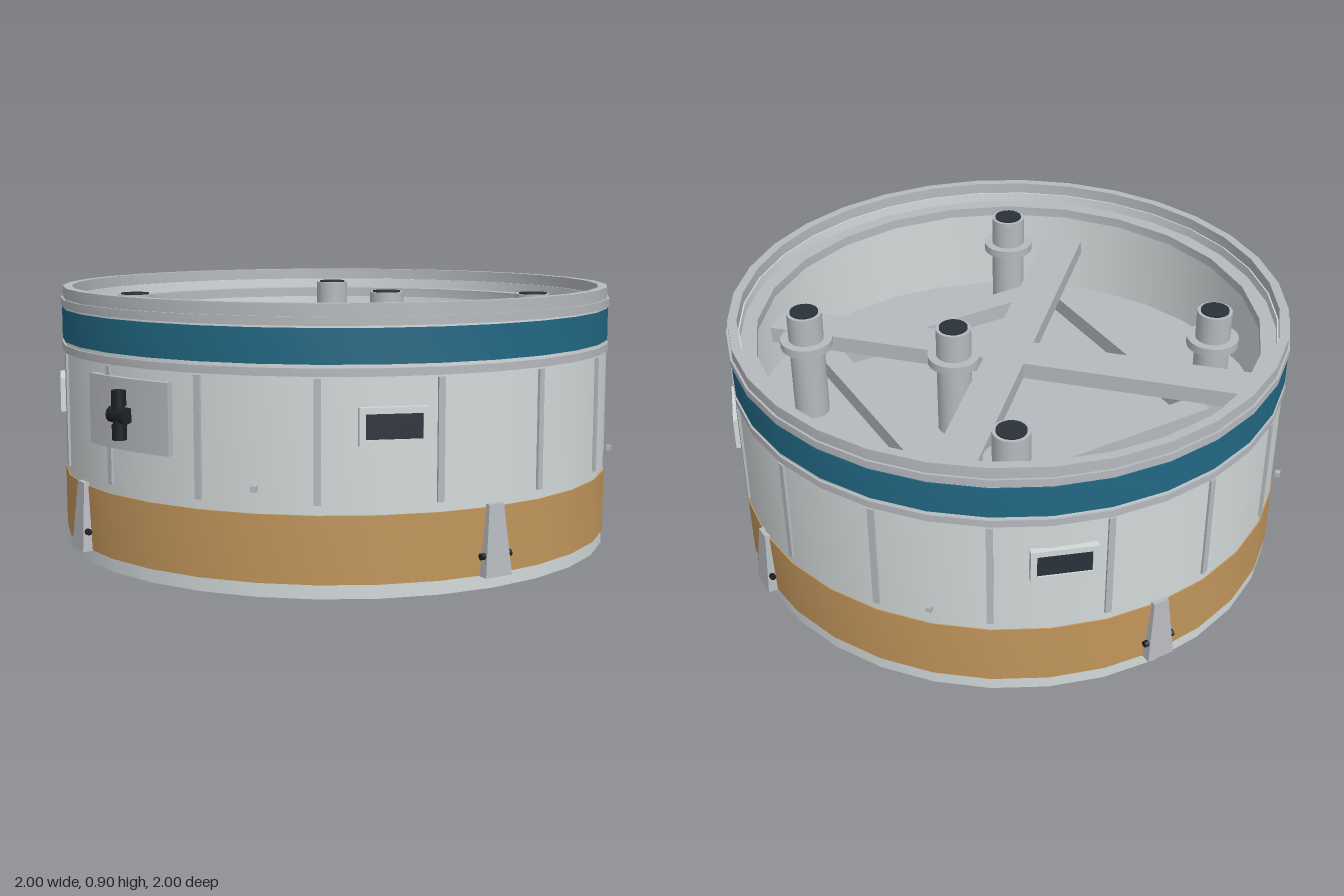
import * as THREE from 'three';
import { toCreasedNormals } from 'three/addons/utils/BufferGeometryUtils.js';

const mat = (name, color) => Object.assign(new THREE.MeshStandardMaterial({ color }), { name });

export function createModel() {
  const model = new THREE.Group();
  model.name = 'ringModule';
  const shell = mat('shellGrey', 0xd3d9da);
  const trim = mat('trimGrey', 0xb6b9be);
  const blue = mat('bandBlue', 0x226884);
  const tan = mat('bandTan', 0xc2965c);
  const glass = mat('darkGlass', 0x2a323a);
  const black = mat('black', 0x1d2025);

  const add = (name, geo, material, x = 0, y = 0, z = 0, parent = model) => {
    const mesh = new THREE.Mesh(geo, material);
    mesh.name = name;
    mesh.position.set(x, y, z);
    parent.add(mesh);
    return mesh;
  };
  const box = (w, h, d, sx = 1) => new THREE.BoxGeometry(w, h, d, sx);
  const cyl = (r, h, n = 20) => new THREE.CylinderGeometry(r, r, h, n);
  // Rectangular-section ring around the y axis
  const ring = (name, r0, r1, y0, y1, material, sides = 32, parent = model, z = 0) => {
    const pts = [[r1, y0], [r1, y1], [r0, y1], [r0, y0], [r1, y0]].map(p => new THREE.Vector2(...p));
    return add(name, toCreasedNormals(new THREE.LatheGeometry(pts, sides), 0.5), material, 0, 0, z, parent);
  };
  // Group turned to face outward at an angle from +z towards +x
  const facing = (name, degrees) => {
    const g = new THREE.Group();
    g.name = name;
    g.rotation.y = THREE.MathUtils.degToRad(degrees);
    model.add(g);
    return g;
  };

  // Shell, liner and bands
  ring('skirt', 0.95, 0.967, 0, 0.16, shell);
  ring('wall', 0.93, 0.967, 0.15, 0.86, shell);
  ring('topRim', 0.935, 0.967, 0.86, 0.9, trim);
  ring('upperRing', 0.95, 0.975, 0.834, 0.861, trim);
  ring('blueBand', 0.95, 0.971, 0.718, 0.827, blue);
  ring('middleRing', 0.95, 0.974, 0.682, 0.707, trim);
  ring('tanBand', 0.957, 0.971, 0.045, 0.26, tan);
  ring('innerLedge', 0.88, 0.94, 0.79, 0.825, trim, 24);
  ring('linerFoot', 0.905, 0.955, 0.145, 0.17, trim);

  // Wall stringers
  for (let i = 0; i < 16; i++) {
    add('stringer', box(0.022, 0.385, 0.025), trim, 0, 0.484, 0.962, facing('stringerMount', 11.25 + 22.5 * i));
  }

  // Windows with raised frames
  for (let i = 0; i < 4; i++) {
    const g = facing('window', -20.1 + 90 * i);
    add('windowPane', box(0.19, 0.08, 0.03), glass, 0, 0.532, 0.962, g);
    for (const s of [-1, 1]) {
      add('windowFrameBar', box(0.216, 0.02, 0.04), shell, 0, 0.532 + s * 0.049, 0.962, g);
      add('windowFrameSide', box(0.02, 0.08, 0.04), shell, s * 0.098, 0.532, 0.962, g);
    }
  }

  // Tapered clamps with side pegs, and small studs between them
  for (let i = 0; i < 4; i++) {
    const g = facing('clampMount', 90 * i);
    const geo = box(1, 0.228, 0.075);
    const p = geo.attributes.position;
    for (let k = 0; k < p.count; k++) {
      const top = p.getY(k) > 0;
      p.setX(k, p.getX(k) * (top ? 0.055 : 0.1));
      if (top && p.getZ(k) > 0) p.setZ(k, 0.02);
    }
    geo.computeVertexNormals();
    add('clamp', geo, trim, 0, 0.157, 0.9625, g);
    add('clampPeg', cyl(0.011, 0.116, 8), black, 0, 0.109, 0.98, g).rotation.z = Math.PI / 2;
    add('stud', box(0.018, 0.018, 0.018), trim, 0, 0.34, 0.987, facing('studMount', 45 + 90 * i));
  }

  // Curved side plate with valve
  const side = facing('valvePlateMount', -73.2);
  const curved = box(0.38, 0.23, 0.04, 6);
  const cp = curved.attributes.position;
  for (let k = 0; k < cp.count; k++) {
    const a = cp.getX(k) / 0.97, r = 0.965 + cp.getZ(k);
    cp.setXYZ(k, Math.sin(a) * r, cp.getY(k), Math.cos(a) * r);
  }
  add('valvePlate', toCreasedNormals(curved, 0.5), trim, 0, 0.532, 0, side);
  add('valveStem', new THREE.CapsuleGeometry(0.02, 0.125, 4, 10), black, 0, 0.532, 1.002, side);
  add('valveCross', cyl(0.027, 0.075, 12), black, 0, 0.532, 1.0, side).rotation.z = Math.PI / 2;
  for (const y of [0.478, 0.586]) add('valveCap', cyl(0.024, 0.05, 12), black, 0, y, 1.002, side);

  // Deck, grey above and tan below
  add('deckTop', cyl(0.935, 0.08, 32), trim, 0, 0.41, 0);
  add('deckUnderside', cyl(0.935, 0.03, 32), tan, 0, 0.355, 0);
  ring('deckEdgeSeal', 0.915, 0.935, 0.33, 0.342, black);
  add('deckSeamX', box(1.84, 0.012, 0.025), black, 0, 0.336, 0);
  add('deckSeamZ', box(0.025, 0.012, 1.84), black, 0, 0.336, 0);

  // Cross beams and the lower square frame
  for (const s of [-1, 1]) {
    add('crossBeam', box(1.75, 0.06, 0.145), trim, 0, 0.67, 0).rotation.y = s * Math.PI / 4;
    add('frameBeam', box(1.0, 0.06, 0.088), trim, 0, 0.562, s * 0.488);
    add('frameBeam', box(0.088, 0.06, 1.0), trim, s * 0.488, 0.562, 0);
  }

  // Standing pipes with collars and dark mouths
  for (const [x, z] of [[0.22, 0], [0.355, -0.625], [-0.625, -0.36], [0.62, 0.355], [-0.36, 0.62]]) {
    const g = new THREE.Group();
    g.name = 'pipe';
    g.position.set(x, 0, z);
    model.add(g);
    add('pipeBody', cyl(0.062, 0.42), trim, 0, 0.65, 0, g);
    add('pipeCollar', cyl(0.092, 0.03), trim, 0, 0.74, 0, g);
    add('pipeMouth', cyl(0.05, 0.006), glass, 0, 0.862, 0, g);
  }

  // Round ports under the deck, with dark rims and bolts
  const port = (parent, z) => {
    add('portDisc', cyl(0.212, 0.04, 32), trim, 0, 0.338, z, parent);
    ring('portRim', 0.208, 0.228, 0.312, 0.345, black, 32, parent, z);
  };
  port(model, 0);
  for (let i = 0; i < 4; i++) {
    const g = facing('portMount', 45 + 90 * i);
    port(g, 0.68);
    for (const [x, z] of [[0, 0.31], [0, 0.41], [0.3, 0.48], [-0.3, 0.48], [0.33, 0.66], [-0.33, 0.66], [0.22, 0.85], [-0.22, 0.85]]) {
      add('bolt', cyl(0.012, 0.02, 8), shell, x, 0.336, z, g);
    }
  }
  return model;
}
